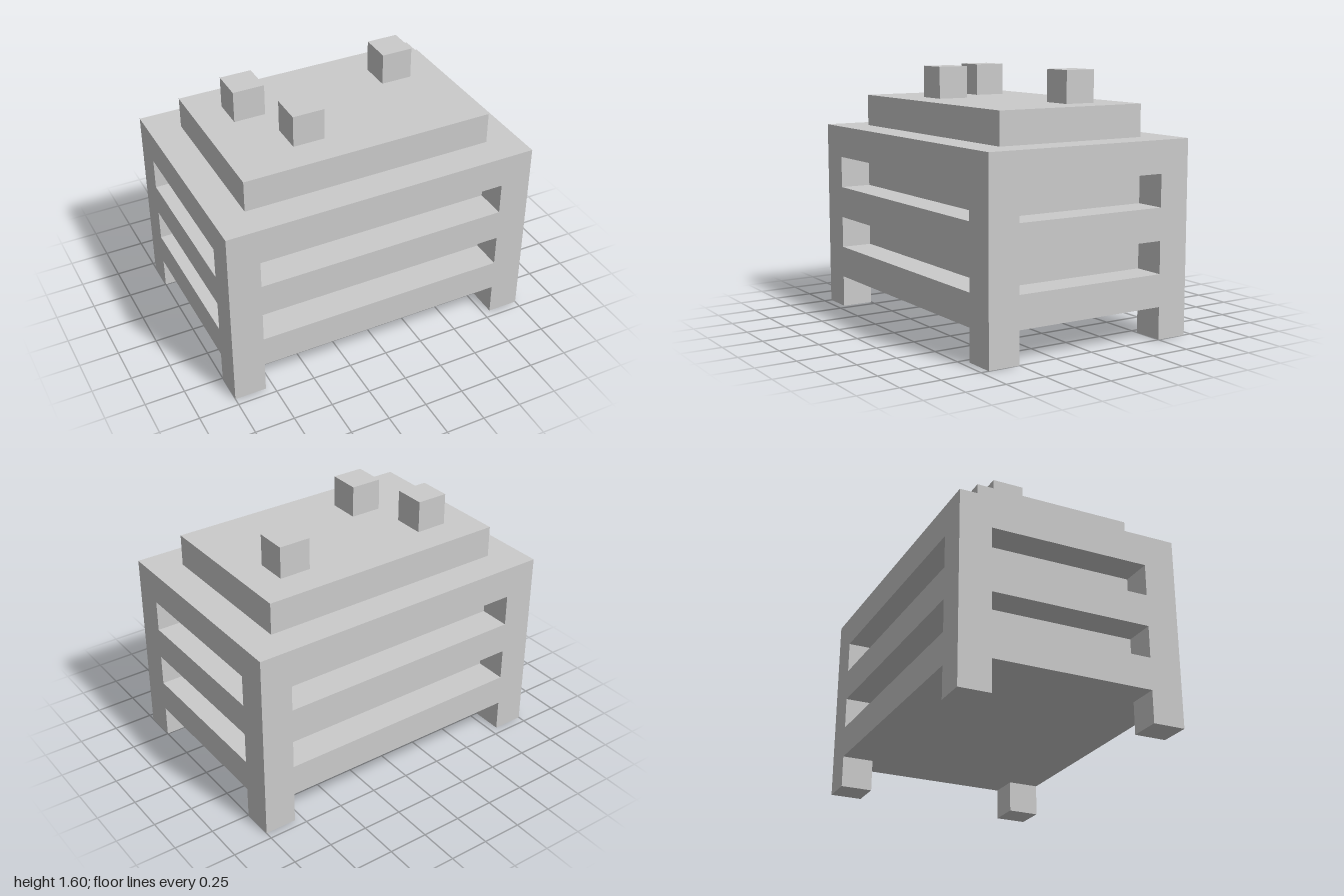
import * as THREE from 'three';

export function createModel() {
  const model = new THREE.Group();
  const material = new THREE.MeshStandardMaterial({ color: 0xcccccc, flatShading: true });

  const add = (name, geometry, x, y, z) => {
    const mesh = new THREE.Mesh(geometry, material);
    mesh.name = name;
    mesh.position.set(x, y, z);
    model.add(mesh);
  };
  const box = (name, w, h, d, x, bottom, z) =>
    add(name, new THREE.BoxGeometry(w, h, d), x, bottom + h / 2, z);

  // Solid core behind the slots, and the raised slab on top
  box('core', 1.6, 1, 1, 0, 0.2, 0);
  box('topSlab', 1.6, 0.2, 1, 0, 1.2, 0);

  // Front and back frames: two feet, corner posts and slats in one outline
  const outline = [[-1, 0], [-0.8, 0], [-0.8, 0.2], [0.8, 0.2], [0.8, 0], [1, 0], [1, 1.2], [-1, 1.2]];
  const frame = new THREE.Shape(outline.map(([x, y]) => new THREE.Vector2(x, y)));
  for (const y of [0.4, 0.8]) {
    const slot = [[-0.8, y], [-0.8, y + 0.2], [0.8, y + 0.2], [0.8, y]];
    frame.holes.push(new THREE.Path(slot.map(([px, py]) => new THREE.Vector2(px, py))));
  }
  const frameGeometry = new THREE.ExtrudeGeometry(frame, { depth: 0.2, bevelEnabled: false });
  add('frontFrame', frameGeometry, 0, 0, 0.5);
  add('backFrame', frameGeometry, 0, 0, -0.7);

  // Side slats between the corner posts
  for (const [side, x] of [['left', 0.9], ['right', -0.9]]) {
    for (const y of [0.2, 0.6, 1]) box(side + 'Slat', 0.2, 0.2, 1, x, y, 0);
  }

  // Three small cubes on the slab
  for (const [x, z] of [[-0.5, -0.2], [0.5, -0.2], [-0.3, 0.2]]) {
    box('topCube', 0.2, 0.2, 0.2, x, 1.4, z);
  }

  return model;
}
